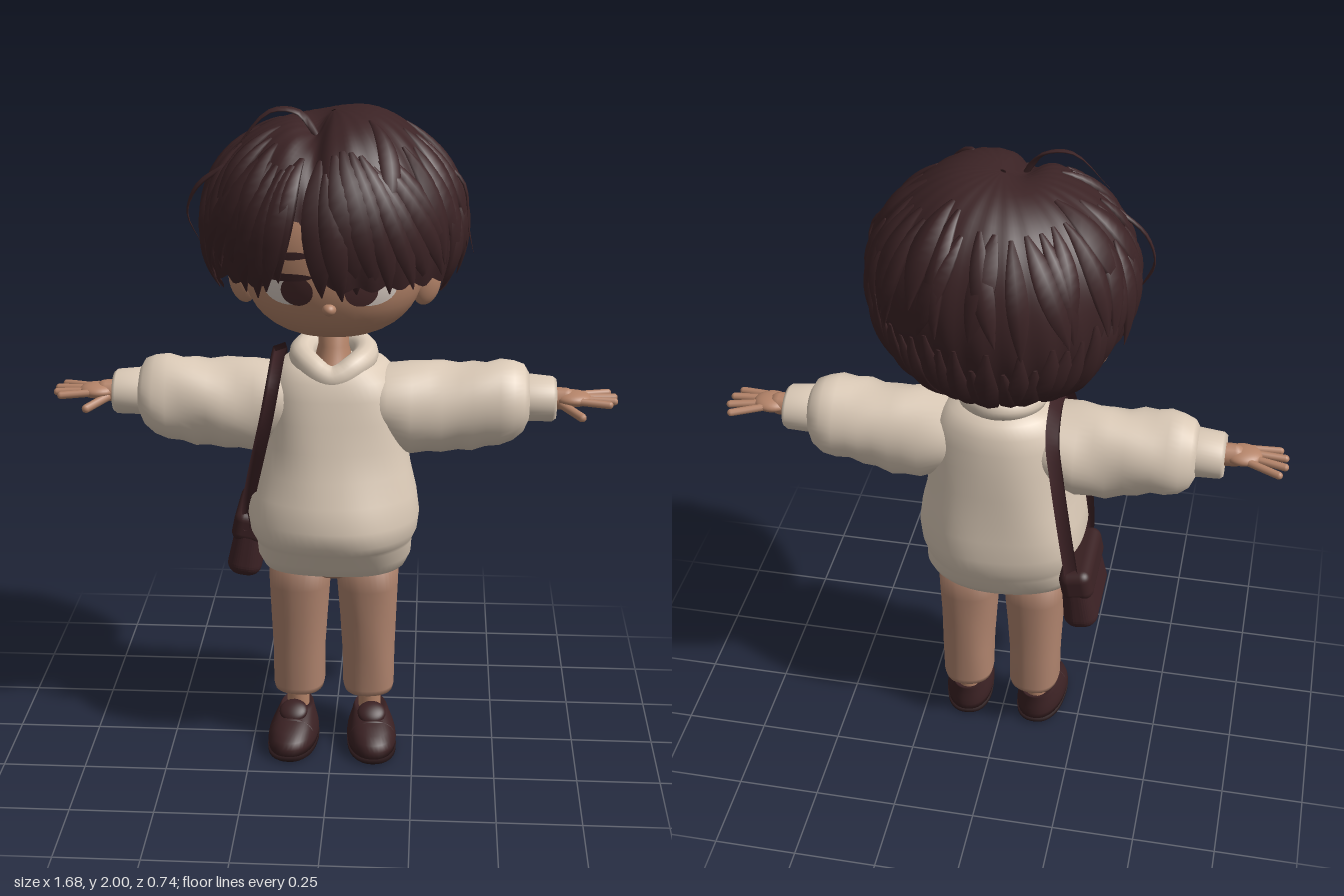
import * as THREE from 'three';
import { mergeGeometries } from 'three/addons/utils/BufferGeometryUtils.js';
import { RoundedBoxGeometry } from 'three/addons/geometries/RoundedBoxGeometry.js';

const V = (x, y, z) => new THREE.Vector3(x, y, z);
const mat = (name, color, side = THREE.FrontSide) => {
  const m = new THREE.MeshStandardMaterial({ color, side });
  m.name = name;
  return m;
};

// Grid of points wrapped around, rows counted from the bottom up, with end caps
function skin(rows, capped = true) {
  const n = rows[0].length, pos = [], idx = [];
  rows.forEach(r => r.forEach(p => pos.push(p.x, p.y, p.z)));
  for (let j = 0; j < rows.length - 1; j++) for (let i = 0; i < n; i++) {
    const a = j * n + i, b = j * n + (i + 1) % n;
    idx.push(a, b, a + n, b, b + n, a + n);
  }
  if (capped) [0, rows.length - 1].forEach(j => {
    const c = rows[j].reduce((s, p) => s.add(p), V(0, 0, 0)).divideScalar(n), k = pos.length / 3;
    pos.push(c.x, c.y, c.z);
    for (let i = 0; i < n; i++) {
      const a = j * n + i, b = j * n + (i + 1) % n;
      j ? idx.push(a, b, k) : idx.push(b, a, k);
    }
  });
  const g = new THREE.BufferGeometry();
  g.setAttribute('position', new THREE.Float32BufferAttribute(pos, 3));
  g.setIndex(idx);
  g.computeVertexNormals();
  return g;
}

// Stacked ovals: [y, centre x, centre z, half width, half depth]
function loft(rows, bump = () => 0, e = 1, n = 40) {
  const pw = v => Math.sign(v) * Math.abs(v) ** e;
  return skin(rows.map(([y, cx, cz, rx, rz]) => Array.from({ length: n }, (_, i) => {
    const a = i / n * Math.PI * 2, k = 1 + bump(y, a);
    return V(cx + rx * k * pw(Math.sin(a)), y, cz + rz * k * pw(Math.cos(a)));
  })));
}

// Tapered flat strand along a path; out(p) is the direction it faces
function strand(path, out, width, thick, steps = 12, n = 6) {
  const rows = [];
  for (let j = 0; j <= steps; j++) {
    const t = j / steps, p = path(t);
    const d = path(Math.min(1, t + 0.02)).sub(path(Math.max(0, t - 0.02))).normalize();
    const s = d.clone().cross(out(p)).normalize(), o = s.clone().cross(d);
    rows.push(Array.from({ length: n }, (_, i) => {
      const a = (i + 0.5) / n * Math.PI * 2;
      return p.clone().addScaledVector(s, -Math.cos(a) * width(t)).addScaledVector(o, -Math.sin(a) * thick(t));
    }));
  }
  return skin(rows);
}

const ball = (x, y, z, sx, sy, sz) => new THREE.SphereGeometry(1, 28, 20).scale(sx, sy, sz).translate(x, y, z);
function rod(a, b, r) {
  const d = b.clone().sub(a), g = new THREE.CapsuleGeometry(r, d.length(), 5, 10);
  g.applyQuaternion(new THREE.Quaternion().setFromUnitVectors(V(0, 1, 0), d.normalize()));
  const m = a.clone().add(b).multiplyScalar(0.5);
  return g.translate(m.x, m.y, m.z);
}
function mirrored(geo) {
  const g = geo.clone().scale(-1, 1, 1), ix = g.index.array;
  for (let i = 0; i < ix.length; i += 3) [ix[i], ix[i + 1]] = [ix[i + 1], ix[i]];
  return g;
}

// Head shape: a rounded, full-cheeked oval
const headR = y => Math.max(0, 1 - Math.abs((y - 1.56) / 0.235) ** 2.4) ** (1 / 2.4);
const faceZ = (x, y) => 0.245 * Math.sqrt(Math.max(0, headR(y) ** 2 - (x / 0.265) ** 2));
function facePatch(cx, cy, rx, ry, lift, tilt = 0) {
  const g = new THREE.RingGeometry(0.001, 1, 28, 5).scale(rx, ry, 1).rotateZ(tilt).translate(cx, cy, 0);
  const p = g.attributes.position;
  for (let i = 0; i < p.count; i++) p.setZ(i, faceZ(p.getX(i), p.getY(i)) + lift);
  g.computeVertexNormals();
  return g;
}

// Hair shell: heading a (0 = front) and angle f down from the crown
function hairPoint(a, f, lift = 0) {
  const R = Math.max(0, Math.sin(f)) ** 0.85, c = Math.cos(f);
  const x = 0.37 * R * Math.sin(a), z = 0.355 * R * Math.cos(a);
  const part = 0.1 * Math.exp(-(((x + 0.05) / 0.04) ** 2)) * THREE.MathUtils.smoothstep(z, -0.12, 0.12) * Math.max(0, c + 0.2);
  const k = 1 + lift - part;
  const top = 0.025 * Math.max(0, c) * Math.exp(-(((x - 0.12) / 0.13) ** 2));
  return V(x * k, 1.65 + (c > 0 ? 0.315 : 0.335) * c * k + top, z * k);
}
const hemTable = [[0, 1.55], [1.1, 1.54], [1.25, 1.48], [1.38, 1.54], [1.85, 1.55], [2.1, 1.38], [3.2, 1.35]];
function hemAngle(a) {
  a = Math.atan2(Math.sin(a), Math.cos(a));
  const b = Math.abs(a), i = Math.max(1, hemTable.findIndex(h => h[0] >= b));
  const [p, q] = [hemTable[i - 1], hemTable[i]];
  let y = p[1] + (q[1] - p[1]) * (b - p[0]) / (q[0] - p[0]);
  y += 0.19 * Math.max(0, 1 - (Math.abs(a + 0.25) / 0.24) ** 2);   // gap showing the forehead
  return Math.acos((y - 1.65) / 0.335);
}

function buildHair() {
  let seed = 7;
  const rnd = (lo, hi) => lo + (hi - lo) * ((seed = seed * 16807 % 2147483647) / 2147483647);
  const out = p => p.clone().sub(V(0, 1.62, 0));
  const rows = [];
  for (let j = 28; j >= 0; j--) rows.push(Array.from({ length: 144 }, (_, i) => {
    const a = i / 144 * Math.PI * 2, t = j / 28;
    const f = Math.max(0.01, t * (hemAngle(a) + 0.05 * Math.abs(Math.sin(a * 13))));
    return hairPoint(a, f, 0.012 * t * Math.sin(a * 26 + 2 * Math.sin(t * 4)));
  }));
  const shell = skin(rows, false);
  const locks = [];
  const lock = (a0, a1, f0, f1, w, flick, lift = 0.005) => locks.push(strand(
    t => hairPoint(a0 + (a1 - a0) * t, f0 + (f1 - f0) * t, lift + flick * t ** 3),
    out, t => 0.002 + w * Math.sin(Math.PI * (0.06 + 0.94 * t) ** 1.1), t => 0.001 + 0.016 * Math.sin(Math.PI * (0.05 + 0.95 * t))));
  // fringe sweeping both ways from the parting
  for (const e of [-1.25, -1.08, -0.92, -0.78, -0.62, -0.5, -0.4, -0.02, 0.1, 0.25, 0.4, 0.56, 0.72, 0.88, 1.05, 1.22])
    lock(-0.18 + (e + 0.18) * 0.55, e + rnd(-0.05, 0.05), rnd(0.6, 0.95), Math.acos((rnd(1.5, 1.55) - 1.65) / 0.335), rnd(0.035, 0.05), rnd(-0.07, 0.04));
  // pointed ends around the hem
  for (let i = 0; i < 34; i++) {
    const a = 1.15 + i / 33 * 3.98, f = hemAngle(a);
    lock(a, a + rnd(-0.15, 0.15), f - rnd(0.7, 1), f + rnd(0.02, 0.13), rnd(0.03, 0.045), rnd(-0.03, 0.05));
  }
  // layered tufts higher up
  for (let i = 0; i < 30; i++) {
    const a = 0.7 + i / 29 * 4.9, f = rnd(1, 1.35);
    lock(a, a + rnd(-0.25, 0.25), f - 0.6, f + rnd(0.3, 0.5), rnd(0.03, 0.045), rnd(0, 0.045), 0);
  }
  // loose wisps at the crown and the side
  for (const pts of [[V(-0.03, 1.9, 0.1), V(-0.09, 1.98, 0.1), V(-0.17, 1.985, 0.11), V(-0.27, 1.88, 0.13)],
    [V(-0.3, 1.83, 0.1), V(-0.38, 1.77, 0.09), V(-0.41, 1.69, 0.08), V(-0.37, 1.6, 0.08)],
    [V(0.3, 1.84, 0), V(0.37, 1.77, 0.02), V(0.385, 1.65, 0.03), V(0.4, 1.58, 0.05)]]) {
    const c = new THREE.CatmullRomCurve3(pts);
    locks.push(strand(t => c.getPoint(t), out, t => 0.002 + 0.016 * Math.sin(Math.PI * (0.1 + 0.9 * t)), t => 0.007 * (1.05 - t)));
  }
  return [shell, mergeGeometries(locks)];
}

export function createModel() {
  const root = new THREE.Group();
  const skinMat = mat('skin', 0xb58469), knit = mat('cream knit', 0xdccbb8), cloth = mat('trouser cloth', 0xb0846e);
  const hairMat = mat('dark hair', 0x3b2325, THREE.DoubleSide), shoeMat = mat('shoe leather', 0x3a2123);
  const soleMat = mat('dark sole', 0x281719), bagMat = mat('bag leather', 0x3c2225);
  const white = mat('eye white', 0xd8cbc2), iris = mat('eye brown', 0x46292a);
  const add = (name, geo, m) => {
    const o = new THREE.Mesh(geo, m);
    o.name = name;
    root.add(o);
  };
  const both = (name, geo, m) => {
    add(name + 'Left', geo, m);
    add(name + 'Right', mirrored(geo), m);
  };

  // Head, ears and neck
  const headRows = [];
  for (let i = 0; i <= 24; i++) {
    const y = 1.56 - 0.2349 * Math.cos(Math.PI * i / 24), r = headR(y);
    headRows.push([y, 0, 0.012 * r, 0.265 * r, 0.233 * r]);
  }
  add('head', loft(headRows), skinMat);
  add('nose', ball(0, 1.455, 0.228, 0.02, 0.018, 0.024), skinMat);
  add('neck', loft([[1.16, 0, 0.03, 0.07, 0.08], [1.25, 0, 0.02, 0.055, 0.07], [1.29, 0, 0, 0.045, 0.05], [1.38, 0, 0, 0.045, 0.05]]), skinMat);
  both('ear', ball(0, 0, 0, 0.045, 0.068, 0.03).rotateY(0.5).rotateZ(-0.15).translate(0.268, 1.47, -0.03), skinMat);

  // Eyes and brows
  both('eyeWhite', facePatch(0.118, 1.505, 0.068, 0.042, 0.004), white);
  both('iris', facePatch(0.09, 1.507, 0.046, 0.043, 0.007), iris);
  both('upperLash', facePatch(0.118, 1.545, 0.072, 0.011, 0.009, -0.08), hairMat);
  both('brow', facePatch(0.11, 1.605, 0.055, 0.011, 0.005, -0.1), hairMat);

  // Hair
  const [shell, locks] = buildHair();
  add('hairShell', shell, hairMat);
  add('hairLocks', locks, hairMat);

  // Sweater: [y, half width, front z, back z]
  const torso = [[0.595, 0.19, 0.11, -0.11], [0.6, 0.215, 0.135, -0.135], [0.64, 0.232, 0.17, -0.165], [0.685, 0.234, 0.2, -0.185],
    [0.7, 0.238, 0.215, -0.19], [0.73, 0.25, 0.238, -0.203], [0.78, 0.256, 0.243, -0.21], [0.85, 0.248, 0.222, -0.205],
    [0.92, 0.232, 0.195, -0.198], [1, 0.22, 0.175, -0.192], [1.08, 0.215, 0.162, -0.185], [1.15, 0.205, 0.148, -0.175],
    [1.2, 0.187, 0.135, -0.165], [1.235, 0.15, 0.11, -0.145], [1.255, 0.1, 0.06, -0.11]];
  add('sweaterBody', loft(torso.map(([y, w, f, b]) => [y, 0, (f + b) / 2, w, (f - b) / 2]),
    (y, a) => 0.012 * Math.sin(a * 5 + y * 9), 0.88, 56), knit);
  const neckline = new THREE.CatmullRomCurve3(Array.from({ length: 20 }, (_, i) => {
    const a = i / 20 * Math.PI * 2, c = Math.cos(a);
    return V(Math.sin(a) * 0.094, 1.258 - 0.018 * c - 0.03 * Math.max(0, c) ** 6, c * 0.1 - 0.005);
  }), true);
  add('sweaterCollar', new THREE.TubeGeometry(neckline, 60, 0.038, 12, true), knit);
  const alongX = rows => rows.map(([x, y, ry, rz]) => [x, -y, -0.01, ry, rz]);
  const sleeve = alongX([[0.08, 1.12, 0.1, 0.12], [0.16, 1.108, 0.12, 0.135], [0.23, 1.095, 0.138, 0.138], [0.28, 1.095, 0.136, 0.126],
    [0.32, 1.095, 0.138, 0.13], [0.37, 1.1, 0.13, 0.118], [0.41, 1.105, 0.134, 0.124], [0.45, 1.11, 0.125, 0.116], [0.49, 1.115, 0.128, 0.122],
    [0.53, 1.118, 0.118, 0.115], [0.56, 1.125, 0.1, 0.1], [0.575, 1.13, 0.07, 0.078]]);
  both('sleeve', loft(sleeve, (x, a) => 0.03 * Math.sin(a * 3 + x * 24)).rotateZ(-Math.PI / 2), knit);
  const cuff = alongX([[0.56, 1.13, 0.06, 0.07], [0.575, 1.13, 0.07, 0.078], [0.645, 1.127, 0.066, 0.073], [0.655, 1.127, 0.058, 0.066], [0.645, 1.127, 0.04, 0.045]]);
  both('cuff', loft(cuff).rotateZ(-Math.PI / 2), knit);

  // Hands
  const fingers = [[-0.036, 0.812, -0.076], [-0.013, 0.827, -0.034], [0.01, 0.825, 0.008], [0.03, 0.808, 0.042]]
    .map(([z, tx, tz]) => rod(V(0.72, 1.132, z), V(tx, 1.127, tz), 0.0115));
  both('hand', mergeGeometries([rod(V(0.6, 1.13, -0.008), V(0.68, 1.13, -0.005), 0.034), ball(0.705, 1.132, -0.003, 0.055, 0.023, 0.048),
    rod(V(0.675, 1.118, 0.025), V(0.728, 1.098, 0.075), 0.013), ...fingers].map(g => g.deleteAttribute('uv'))), skinMat);

  // Trousers
  both('trouserLeg', loft([[0.2, 0.108, -0.018, 0.05, 0.055], [0.172, 0.108, -0.018, 0.066, 0.074], [0.168, 0.108, -0.018, 0.076, 0.086],
    [0.185, 0.108, -0.018, 0.08, 0.089], [0.3, 0.108, -0.015, 0.081, 0.092], [0.42, 0.106, -0.01, 0.086, 0.098],
    [0.53, 0.104, -0.008, 0.094, 0.106], [0.64, 0.1, -0.005, 0.1, 0.112]], (y, a) => 0.012 * Math.sin(a * 4 + y * 20), 0.88), cloth);
  add('trouserHips', loft([[0.56, 0, -0.005, 0.1, 0.06], [0.585, 0, -0.005, 0.17, 0.1], [0.66, 0, -0.005, 0.195, 0.11]]), cloth);

  // Ankles and slip-on shoes
  both('ankle', new THREE.CylinderGeometry(0.037, 0.034, 0.2, 20).translate(0.112, 0.16, -0.012), skinMat);
  const foot = g => g.rotateY(0.1).translate(0.115, 0, 0);
  both('shoeSole', foot(loft([[0, 0, 0.065, 0.068, 0.127], [0.006, 0, 0.065, 0.075, 0.135], [0.02, 0, 0.065, 0.076, 0.136]], undefined, 0.85)), soleMat);
  both('shoe', foot(loft([[0.018, 0, 0.065, 0.073, 0.133], [0.04, 0, 0.064, 0.076, 0.133], [0.06, 0, 0.06, 0.073, 0.127], [0.078, 0, 0.047, 0.066, 0.112],
    [0.094, 0, 0.028, 0.058, 0.092], [0.106, 0, 0.008, 0.052, 0.072], [0.112, 0, -0.004, 0.046, 0.06], [0.1, 0, -0.006, 0.036, 0.04]], undefined, 0.9)), shoeMat);
  both('shoeTongue', foot(ball(0, 0, 0, 0.044, 0.02, 0.04).rotateX(0.55).translate(0, 0.112, 0.068)), shoeMat);
  both('shoeBand', foot(ball(0, 0.05, 0.1, 0.072, 0.052, 0.022)), shoeMat);

  // Shoulder bag with flap and strap
  const bagGeo = new RoundedBoxGeometry(0.095, 0.2, 0.26, 5, 0.04), bp = bagGeo.attributes.position;
  for (let i = 0; i < bp.count; i++) {
    const y = bp.getY(i);
    bp.setX(i, bp.getX(i) * (1 - y * 1.6));
    bp.setZ(i, bp.getZ(i) * (1 - y * 0.5));
  }
  bagGeo.computeVertexNormals();
  add('bag', bagGeo.rotateZ(-0.15).translate(-0.262, 0.652, -0.075), bagMat);
  add('bagFlap', new RoundedBoxGeometry(0.098, 0.1, 0.258, 4, 0.03).rotateZ(-0.2).translate(-0.256, 0.712, -0.075), shoeMat);
  const strapPath = new THREE.CatmullRomCurve3([V(-0.265, 0.72, 0.04), V(-0.25, 0.82, 0.09), V(-0.215, 0.98, 0.14), V(-0.188, 1.1, 0.152), V(-0.17, 1.2, 0.125),
    V(-0.163, 1.255, 0.03), V(-0.163, 1.258, -0.06), V(-0.17, 1.2, -0.145), V(-0.19, 1.1, -0.182), V(-0.215, 0.95, -0.2), V(-0.245, 0.72, -0.185)]);
  add('bagStrap', strand(t => strapPath.getPoint(t), p => V(p.x * 0.5, Math.max(0, p.y - 1.15) * 2, p.z), () => 0.026, () => 0.012, 60, 4), bagMat);
  return root;
}
